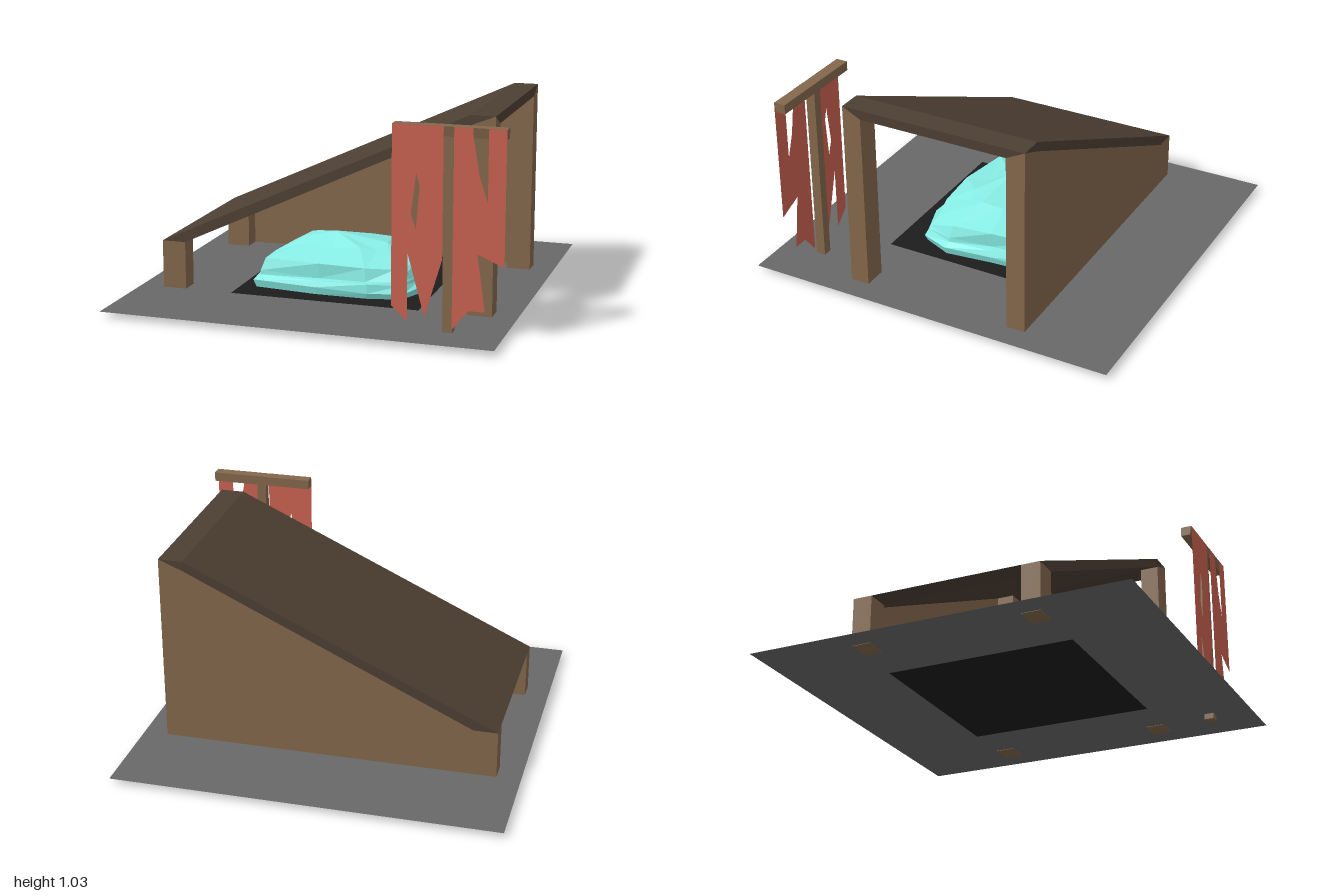
import * as THREE from 'three';

const mat = (color) => new THREE.MeshStandardMaterial({ color, flatShading: true, side: THREE.DoubleSide });

// Flat-faced surface from convex polygons (lists of [x, y, z] corners)
function polygons(faces) {
  const pos = [];
  for (const f of faces)
    for (let i = 1; i < f.length - 1; i++) pos.push(...f[0], ...f[i], ...f[i + 1]);
  const g = new THREE.BufferGeometry();
  g.setAttribute('position', new THREE.Float32BufferAttribute(pos, 3));
  g.computeVertexNormals();
  return g;
}

const shape = (pts) => new THREE.Shape(pts.map(([x, y]) => new THREE.Vector2(x, y)));

export function createModel() {
  const model = new THREE.Group();
  const wood = mat(0x83674b), roofMat = mat(0x4d3f33), red = mat(0xc8604f);
  const add = (parent, name, geometry, material) => {
    const m = new THREE.Mesh(geometry, material);
    m.name = name;
    parent.add(m);
    return m;
  };
  const group = (name) => {
    const g = new THREE.Group();
    g.name = name;
    model.add(g);
    return g;
  };

  // Ground sheet with a dark square pit cover in the middle
  const sheet = shape([[-1, -1], [1, -1], [1, 1], [-1, 1]]);
  sheet.holes.push(shape([[-0.5, -0.5], [-0.5, 0.5], [0.5, 0.5], [0.5, -0.5]]));
  add(model, 'ground', new THREE.ShapeGeometry(sheet).rotateX(-Math.PI / 2).translate(0, 0.03, 0), mat(0x686868));
  add(model, 'darkMat', new THREE.PlaneGeometry(1, 1).rotateX(-Math.PI / 2).translate(0, 0.03, 0), mat(0x1c1c1c));

  // Lean-to shelter: four corner posts, mitred at the high end
  const shelter = group('shelter');
  for (const sx of [-1, 1])
    for (const sz of [-1, 1]) {
      const g = new THREE.BoxGeometry(0.125, 1, 0.1).translate(sx * 0.8125, 0, sz * 0.45);
      const p = g.attributes.position;
      for (let i = 0; i < p.count; i++) {
        const outer = Math.abs(p.getX(i)) > 0.8 && Math.abs(p.getZ(i)) > 0.45;
        const top = sx < 0 ? 0.28 : outer ? 1.03 : 0.98;
        p.setY(i, p.getY(i) > 0 ? top : 0.028);
      }
      add(shelter, 'post', g, wood);
    }

  // Closed back wall
  const wall = shape([[-0.875, 0.03], [0.875, 0.03], [0.875, 1.03], [0.75, 0.98], [-0.75, 0.28], [-0.875, 0.28]]);
  add(shelter, 'backWall', new THREE.ShapeGeometry(wall).translate(0, 0, -0.5), wood);

  // Sloping roof slab with a short level ridge
  const A = [-0.875, 0.28], B = [0.75, 1.03], C = [0.875, 1.03], D = [0.75, 0.98], E = [-0.75, 0.28], F = [0.875, 0.98];
  const strip = (a, b, za = 0.5, zb = 0.5) => [[...a, za], [...b, zb], [...b, -zb], [...a, -za]];
  const side = [A, E, D, C, B];
  // fan starts at E so that every triangle stays inside the band
  const band = [E, D, B, A];
  const tip = [D, C, B];
  const at = (list, z) => list.map((v) => [...v, z]);
  add(shelter, 'roof', polygons([
    strip(A, B), strip(B, C), strip(C, F, 0.5, 0.4), strip(F, D, 0.4, 0.4), strip(D, E), strip(E, A),
    at(band, 0.5), at(tip, 0.5), at(band, -0.5).reverse(), at(tip, -0.5).reverse(),
  ]), roofMat);

  // Banner stand: pole, crossbar and two torn cloths
  const banner = group('banner');
  add(banner, 'pole', new THREE.BoxGeometry(0.05, 0.98, 0.05).translate(0.725, 0.49, 0.775), wood);
  const bar = new THREE.BoxGeometry(0.55, 0.05, 0.06).translate(0.725, 1.005, 0.78);
  const bp = bar.attributes.position;
  for (let i = 0; i < bp.count; i++)
    if (bp.getY(i) < 1 && bp.getZ(i) > 0.78) bp.setZ(i, 0.8);
  add(banner, 'crossbar', bar, wood);
  const left = shape([[0.45, 1.03], [0.45, 0.145], [0.53, 0.07], [0.53, 0.41], [0.615, 0.1], [0.7, 0.39], [0.7, 1.03]]);
  left.holes.push(shape([[0.57, 0.8], [0.587, 0.74], [0.57, 0.53], [0.545, 0.6]]));
  const right = shape([[0.75, 1.03], [0.75, 0.05], [0.83, 0.15], [0.91, 0.15], [0.87, 0.43], [1, 0.375],
    [1, 1.03], [0.915, 1.03], [0.915, 0.68], [0.875, 0.8], [0.84, 1]  , [0.84, 1.03]]);
  for (const cloth of [left, right])
    add(banner, 'tornCloth', new THREE.ShapeGeometry(cloth).translate(0, 0, 0.811), red);

  // Faceted crystal mound: an uneven outline stacked in shrinking rings
  const outline = [[-0.43, 0.36], [-0.08, 0.4], [0.2, 0.4], [0.38, 0.36], [0.45, 0.2], [0.42, -0.05],
    [0.4, -0.33], [0.1, -0.37], [-0.2, -0.36], [-0.36, -0.3], [-0.42, -0.1], [-0.46, 0.15]];
  const crest = [0.235, 0.23, 0.245, 0.23, 0.255, 0.24, 0.215, 0.22, 0.215, 0.22, 0.25, 0.25];
  const n = outline.length;
  const wobble = (i, k) => Math.sin(i * 4.7 + k * 2.3);
  const levels = [[0.03, 0.97], [0.065, 1], [0.1, 0.96], [0.112, 0.91], [0.178, 0.87], [0, 0.5]];
  const rings = levels.map(([y, s], k) => outline.map(([x, z], i) => {
    const r = s * (k > 1 ? 1 + 0.03 * wobble(i, k) : 1);
    const h = k === 5 ? crest[i] : k === 0 ? y : y + 0.007 * wobble(i, k);
    return [x * r, h, z * r];
  }));
  const faces = [];
  const peak = [-0.07, 0.29, 0.07];
  for (let i = 0; i < n; i++) {
    const j = (i + 1) % n;
    for (let k = 0; k < rings.length - 1; k++)
      faces.push([rings[k][i], rings[k][j], rings[k + 1][j], rings[k + 1][i]]);
    faces.push([rings[5][i], rings[5][j], peak]);
  }
  add(model, 'crystalMound', polygons(faces), mat(0x86ece4));

  return model;
}
